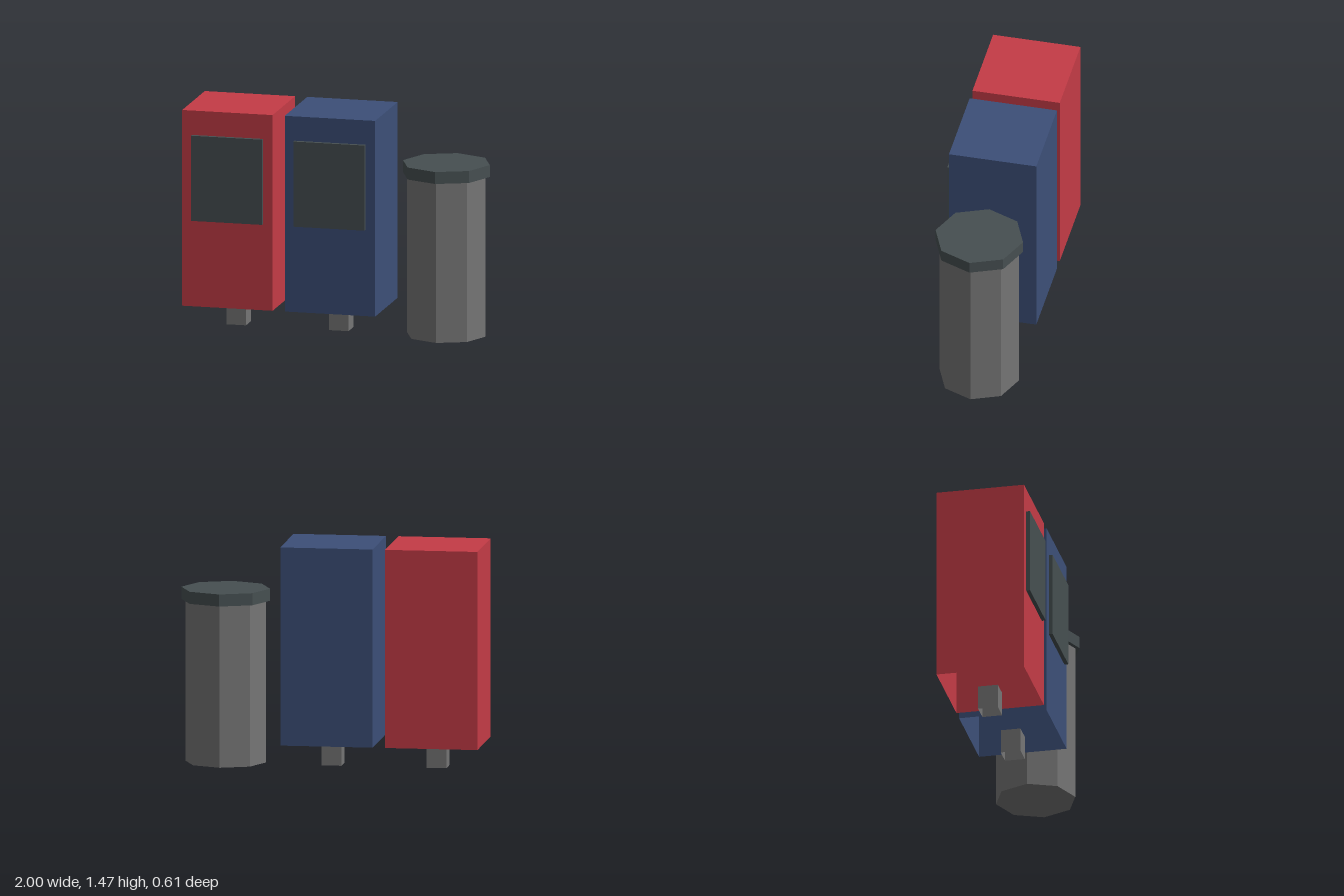
import * as THREE from 'three';

const paint = (name, color, side = THREE.FrontSide) => {
  const m = new THREE.MeshStandardMaterial({ color, side, flatShading: true });
  m.name = name;
  return m;
};

// Box given by its extents, leaving out the listed faces (2 = top, 3 = bottom, 5 = back)
function box(x0, x1, y0, y1, z0, z1, open = []) {
  const g = new THREE.BoxGeometry(x1 - x0, y1 - y0, z1 - z0);
  g.translate((x0 + x1) / 2, (y0 + y1) / 2, (z0 + z1) / 2);
  g.setIndex(Array.from(g.index.array).filter((_, i) => !open.includes(Math.floor(i / 6))));
  g.clearGroups();
  return g;
}

function add(parent, name, geometry, material) {
  const mesh = new THREE.Mesh(geometry, material);
  mesh.name = name;
  parent.add(mesh);
  return mesh;
}

export function createModel() {
  const model = new THREE.Group();
  model.name = 'streetBoxes';
  const red = paint('red', 0xc43b46, THREE.DoubleSide);
  const blue = paint('blue', 0x3c4f78, THREE.DoubleSide);
  const slate = paint('slate', 0x464f51);
  const grey = paint('grey', 0x757575, THREE.DoubleSide);

  // Two dispenser boxes, hollow underneath, each on a short post
  for (const [name, x, material] of [['redDispenser', -0.695, red], ['blueDispenser', -0.003, blue]]) {
    const unit = new THREE.Group();
    unit.name = name;
    unit.position.x = x;
    add(unit, 'cabinet', box(-0.305, 0.305, 0.16, 1.47, -0.305, 0.28, [3]), material);
    add(unit, 'door', box(-0.24, 0.24, 0.737, 1.307, 0.28, 0.306, [5]), slate);
    add(unit, 'post', box(-0.066, 0.066, 0, 0.16, -0.079, 0.053, [2, 3]), grey);
    model.add(unit);
  }

  // Eight-sided bin with an overhanging lid
  const bin = new THREE.Group();
  bin.name = 'bin';
  bin.position.set(0.706, 0, -0.015);
  add(bin, 'binBody', new THREE.CylinderGeometry(0.265, 0.265, 1.07, 8), grey).position.y = 0.535;
  add(bin, 'binLid', new THREE.CylinderGeometry(0.293, 0.293, 0.08, 8), slate).position.y = 1.11;
  model.add(bin);

  return model;
}
